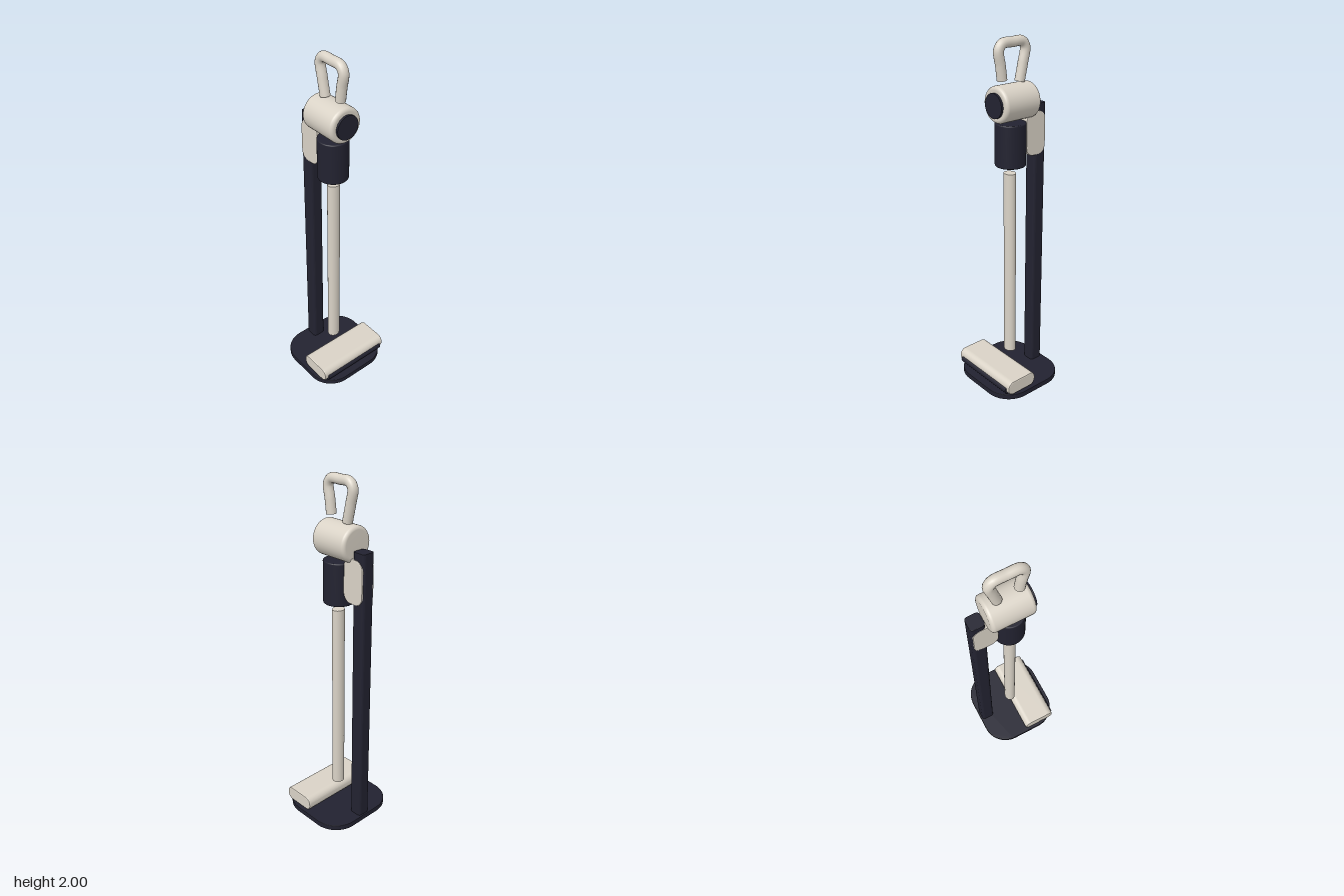
import * as THREE from 'three';

const ivory = new THREE.MeshStandardMaterial({ color: 0xd9d2c6 });
ivory.name = 'warm ivory';
const navy = new THREE.MeshStandardMaterial({ color: 0x222230 });
navy.name = 'dark navy';

// Rounded rectangle outline centred on the origin
function roundedRect(w, h, r) {
  const x = w / 2, y = h / 2, s = new THREE.Shape();
  s.moveTo(-x + r, -y);
  s.lineTo(x - r, -y);
  s.absarc(x - r, -y + r, r, -Math.PI / 2, 0, false);
  s.lineTo(x, y - r);
  s.absarc(x - r, y - r, r, 0, Math.PI / 2, false);
  s.lineTo(-x + r, y);
  s.absarc(-x + r, y - r, r, Math.PI / 2, Math.PI, false);
  s.lineTo(-x, -y + r);
  s.absarc(-x + r, -y + r, r, Math.PI, Math.PI * 1.5, false);
  return s;
}

// Rounded slab of full size w x h x depth, centred, with small bevelled rims
function slab(w, h, depth, r, bevel, segments = 6) {
  const geo = new THREE.ExtrudeGeometry(roundedRect(w - 2 * bevel, h - 2 * bevel, r - bevel), {
    depth: depth - 2 * bevel, curveSegments: segments,
    bevelEnabled: bevel > 0, bevelSize: bevel, bevelThickness: bevel, bevelSegments: 2,
  });
  return geo.translate(0, 0, -depth / 2 + bevel);
}

// Closed cylinder along y with softened rims
function softCylinder(radius, height, soft) {
  const h = height / 2, pts = [new THREE.Vector2(0, -h)];
  for (const side of [-1, 1]) {
    for (let i = 0; i <= 4; i++) {
      const a = (side < 0 ? -1 + i / 4 : i / 4) * Math.PI / 2;
      pts.push(new THREE.Vector2(radius - soft + soft * Math.cos(a), side * (h - soft) + soft * Math.sin(a)));
    }
  }
  pts.push(new THREE.Vector2(0, h));
  return new THREE.LatheGeometry(pts, 40);
}

export function createModel() {
  const model = new THREE.Group();
  model.name = 'stickVacuumOnStand';
  const add = (name, geo, mat, x, y, z) => {
    const mesh = new THREE.Mesh(geo, mat);
    mesh.name = name;
    mesh.position.set(x, y, z);
    model.add(mesh);
    return mesh;
  };

  // Stand: base plate, upright post and docking bracket
  add('basePlate', slab(0.49, 0.47, 0.032, 0.147, 0.003).rotateX(-Math.PI / 2), navy, 0, 0.016, 0);
  add('standPost', slab(0.078, 0.079, 1.61, 0.018, 0.002, 4).rotateX(-Math.PI / 2), navy, 0, 0.835, -0.186);
  add('dockBracket', slab(0.134, 0.242, 0.086, 0.05, 0.006).rotateY(Math.PI / 2), ivory, 0, 1.48, -0.152);

  // Floor head with the roller along its front
  add('floorHead', slab(0.197, 0.084, 0.46, 0.036, 0.007).rotateY(Math.PI / 2), ivory, 0, 0.081, 0.0985);
  add('brushRoller', new THREE.CylinderGeometry(0.022, 0.022, 0.412, 20).rotateZ(Math.PI / 2), navy, 0, 0.065, 0.185);

  // Slightly oval wand
  add('wand', new THREE.CylinderGeometry(0.037, 0.037, 1.115, 28).scale(1, 1, 0.86), ivory, 0, 0.7225, -0.004);

  // Battery, motor body and front filter cap
  add('battery', softCylinder(0.084, 0.235, 0.006), navy, 0, 1.441, -0.008);
  add('motorBody', softCylinder(0.097, 0.235, 0.02).rotateX(Math.PI / 2), ivory, 0, 1.664, -0.0225);
  add('filterCap', new THREE.CylinderGeometry(0.066, 0.066, 0.03, 36).rotateX(Math.PI / 2), navy, 0, 1.662, 0.092);

  // Looped grip
  const grip = new THREE.CatmullRomCurve3([
    [1.785, 0.048], [1.86, 0.058], [1.935, 0.069], [1.965, 0.047], [1.969, -0.02],
    [1.967, -0.083], [1.937, -0.105], [1.86, -0.091], [1.765, -0.069],
  ].map(([y, z]) => new THREE.Vector3(0, y, z)));
  const r = 0.027;
  add('grip', new THREE.TubeGeometry(grip, 64, r, 16, false), ivory, 0, 0, 0);
  for (const t of [0, 1]) {
    const p = grip.getPointAt(t), dir = grip.getTangentAt(t).multiplyScalar(t ? 1 : -1);
    const cap = add('gripEnd', new THREE.CircleGeometry(r, 16), ivory, p.x, p.y, p.z);
    cap.quaternion.setFromUnitVectors(new THREE.Vector3(0, 0, 1), dir);
  }
  return model;
}
